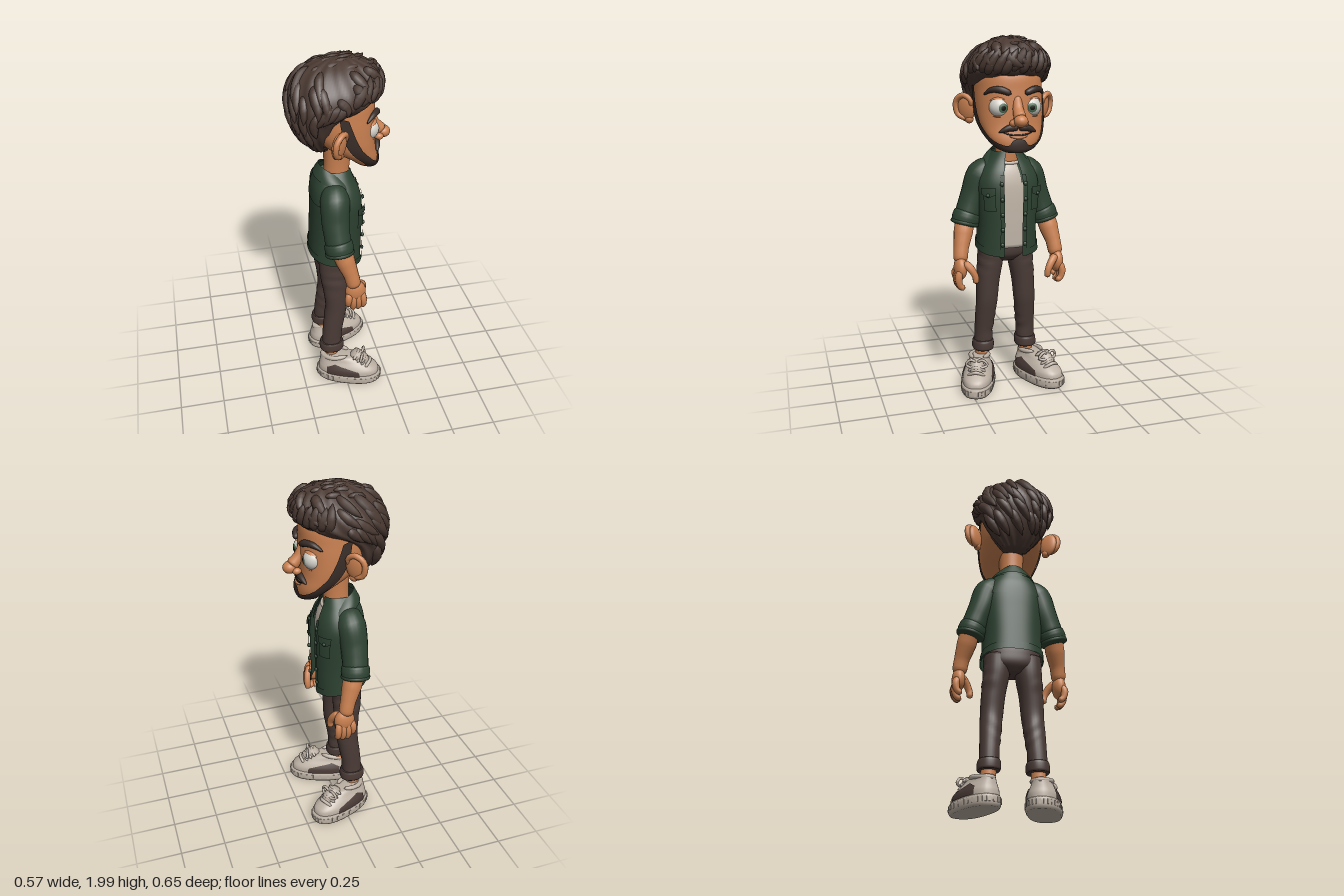
import * as THREE from 'three';
import { mergeVertices } from 'three/addons/utils/BufferGeometryUtils.js';

const mat = (name, color, side = THREE.FrontSide) => {
  const m = new THREE.MeshStandardMaterial({ color, side });
  m.name = name;
  return m;
};
const V = (x, y, z) => new THREE.Vector3(x, y, z);
const { sin, cos, abs, sign, PI, min, max, sqrt, pow } = Math;

// Value of a list at t in 0..1, by straight segments
const listAt = (l, t) => {
  const k = min(t * (l.length - 1), l.length - 1.0001), i = Math.floor(k);
  return l[i] + (l[i + 1] - l[i]) * (k - i);
};

function finish(g) {
  const m = mergeVertices(g, 1e-5);
  m.computeVertexNormals();
  return m;
}

// Grid of points from f(u, v), u and v in 0..1
function grid(f, nu, nv) {
  const pos = [], idx = [];
  for (let j = 0; j <= nv; j++) for (let i = 0; i <= nu; i++) pos.push(...f(i / nu, j / nv).toArray());
  for (let j = 0; j < nv; j++) for (let i = 0; i < nu; i++) {
    const a = j * (nu + 1) + i, b = a + nu + 1;
    idx.push(a, a + 1, b + 1, a, b + 1, b);
  }
  const g = new THREE.BufferGeometry();
  g.setAttribute('position', new THREE.Float32BufferAttribute(pos, 3));
  g.setIndex(idx);
  return finish(g);
}

// Body surface from sections [y, zBack, zFront, halfWidth, xCentre]; angle 0 is the front
function surface(S, p = 2.2) {
  const slope = (i, k) => {
    const a = S[max(i - 1, 0)], b = S[min(i + 1, S.length - 1)];
    return ((b[k] || 0) - (a[k] || 0)) / (b[0] - a[0]);
  };
  const at = y => {
    y = min(max(y, S[0][0]), S[S.length - 1][0]);
    let i = 0;
    while (i < S.length - 2 && y > S[i + 1][0]) i++;
    const h = S[i + 1][0] - S[i][0], t = (y - S[i][0]) / h, t2 = t * t, t3 = t2 * t;
    return [1, 2, 3, 4].map(k => (2 * t3 - 3 * t2 + 1) * (S[i][k] || 0) + (t3 - 2 * t2 + t) * h * slope(i, k)
      + (3 * t2 - 2 * t3) * (S[i + 1][k] || 0) + (t3 - t2) * h * slope(i + 1, k));
  };
  const f = (a, y, off = 0, s = 1) => {
    const [zb, zf, w, xc] = at(y), q = v => sign(v) * pow(abs(v), 2 / p);
    return V(xc + s * q(sin(a)) * (w + off), y, (zb + zf) / 2 + s * q(cos(a)) * ((zf - zb) / 2 + off));
  };
  f.lo = S[0][0];
  f.hi = S[S.length - 1][0];
  f.on = (x, y, off) => f(Math.asin(sign(x) * pow(min(abs(x) / at(y)[2], 1), p / 2)), y, off);
  return f;
}
// Closed solid around a surface, optional ridges
const loft = (f, nu = 40, nv = 28, ridge = () => 0) => grid((u, v) => {
  const t = min(max((v * nv - 1) / (nv - 2), 0), 1), a = u * 2 * PI - PI;
  const y = f.lo + (f.hi - f.lo) * t;
  return f(a, y, ridge(a, y), v === 0 || v === 1 ? 0 : 1);
}, nu, nv);
// Sheet lying on a surface between two angles and two heights
const patch = (f, a0, a1, lo, hi, off, nu = 24, nv = 12) => grid((u, v) => {
  const a = a0 + (a1 - a0) * u, l = lo.call ? lo(a) : lo, h = hi.call ? hi(a) : hi;
  return f(a, l + (h - l) * v, off);
}, nu, nv);

// Round-ended tube with changing radius
function tube(pts, radii, seg = 16, sides = 12, cap = 0.12) {
  const c = new THREE.CatmullRomCurve3(pts.map(p => p.isVector3 ? p : V(...p)));
  const g = new THREE.TubeGeometry(c, seg, 1, sides), P = g.attributes.position, v = V();
  for (let i = 0; i <= seg; i++) {
    const t = i / seg, e = 1 - min(1, t / cap, (1 - t) / cap), o = c.getPointAt(t);
    const r = listAt(radii, t) * sqrt(max(0, 1 - e * e));
    for (let j = 0; j <= sides; j++) {
      const k = i * (sides + 1) + j;
      v.fromBufferAttribute(P, k).sub(o).multiplyScalar(r).add(o);
      P.setXYZ(k, v.x, v.y, v.z);
    }
  }
  g.deleteAttribute('uv');
  g.deleteAttribute('normal');
  return finish(g);
}

export function createModel() {
  const root = new THREE.Group(), man = new THREE.Group();
  root.add(man);
  man.name = 'man';
  man.rotation.y = PI / 2; // he looks along +x
  const skin = mat('skin', 0xc98050), hair = mat('hair brown', 0x4a3932), beard = mat('beard brown', 0x392d28, THREE.DoubleSide);
  const trousers = mat('trouser brown', 0x4a3b36, THREE.DoubleSide), green = mat('jacket green', 0x2d4231, THREE.DoubleSide);
  const cream = mat('shirt cream', 0xc4b8aa), shoe = mat('shoe off-white', 0xbdb1a4), white = mat('eye white', 0xd6d4cc);
  const iris = mat('iris green', 0x4a6f52), dark = mat('pupil black', 0x17120f);
  const add = (name, g, m, parent = man) => {
    const o = new THREE.Mesh(g, m);
    o.name = name;
    parent.add(o);
    return o;
  };
  const ball = (name, m, p, r, parent = man) => {
    const o = add(name, new THREE.SphereGeometry(1, 24, 16), m, parent);
    o.position.set(...p);
    o.scale.set(...r);
  };

  // Head and neck
  const head = surface([[1.38, .12, .195, .045], [1.4, .085, .205, .09], [1.45, .03, .205, .14], [1.52, -.08, .192, .172],
    [1.6, -.16, .19, .184], [1.7, -.2, .187, .184], [1.8, -.2, .175, .172], [1.9, -.14, .1, .11]], 2.3);
  add('head', loft(head, 48, 32), skin);
  add('neck', loft(surface([[1.18, -.09, .05, .08], [1.3, -.085, .055, .068], [1.4, -.08, .06, .066], [1.55, -.09, .08, .075]])), skin);

  // Beard: chin tuft, thin jaw band, narrow sideburns
  const beardTop = a => listAt([1.458, 1.45, 1.425, 1.42, 1.425, 1.433, 1.445, 1.465, 1.54, 1.72, 1.74], abs(a) / 1.66);
  add('beard', patch(head, -1.66, 1.66, 1.382, beardTop, .009, 80, 18), beard);
  add('mouth', tube([-.085, -.045, 0, .045, .085].map(x => head.on(x, 1.474 + x * x * 2.4, .002)), [.002, .005, .005, .002]), dark);
  add('lowerLip', tube([-.05, 0, .05].map(x => head.on(x, 1.463 + x * x * 3, .002)), [.004, .01, .004]), skin);

  // Nose
  add('noseBridge', tube([[0, 1.68, .165], [0, 1.61, .192], [0, 1.56, .235]], [.024, .029, .036]), skin);
  ball('noseTip', skin, [0, 1.553, .243], [.038, .033, .038]);

  for (const s of [-1, 1]) {
    // Moustache, brow, nostril
    add('moustache', tube([[0, 1.513], [.04, 1.515], [.075, 1.502], [.1, 1.49]].map(([x, y]) => head.on(s * x, y, .007)), [.015, .02, .015, .005]), beard);
    add('eyebrow', tube([[.035, 1.69], [.08, 1.71], [.125, 1.712], [.16, 1.685]].map(([x, y]) => head.on(s * x, y, .008)), [.015, .019, .015, .005]), beard);
    ball('nostril', skin, [s * .033, 1.54, .213], [.02, .019, .024]);
    // Eye with iris, pupil and lids
    const eye = new THREE.Group();
    eye.name = 'eye';
    eye.position.set(s * .087, 1.62, .137);
    man.add(eye);
    ball('eyeball', white, [0, 0, 0], [.057, .057, .057], eye);
    [['iris', iris, .45, .0585], ['pupil', dark, .23, .0595]].forEach(([n, m, ang, r]) => {
      const o = add(n, new THREE.SphereGeometry(r, 24, 6, 0, 2 * PI, 0, ang), m, eye);
      o.rotation.set(PI / 2 + .04, 0, s * .12);
    });
    [['upperLid', -.25, 1.05], ['lowerLid', PI + .15, .85]].forEach(([n, rx, ang]) => {
      add(n, new THREE.SphereGeometry(.063, 24, 8, 0, 2 * PI, 0, ang), skin, eye).rotation.x = rx;
    });
    // Ear opening forwards, with rim and lobe
    const ear = new THREE.Group();
    ear.name = 'ear';
    ear.position.set(s * .222, 1.605, -.045);
    ear.rotation.set(0, -s * .75, -s * .1);
    man.add(ear);
    ball('earShell', skin, [0, 0, 0], [.026, .076, .056], ear);
    add('earRim', tube([[s * .012, -.06, .01], [s * .018, -.03, -.046], [s * .018, .042, -.05], [s * .018, .073, 0], [s * .013, .045, .04], [s * .008, .005, .035]], [.014, .016, .016, .012]), skin, ear);
    ball('earLobe', skin, [0, -.06, .015], [.02, .024, .025], ear);
  }

  // Hair mass with combed ridges
  const mane = surface([[1.5, -.15, -.06, .07], [1.55, -.19, -.06, .12], [1.62, -.23, -.04, .17], [1.7, -.257, .01, .2], [1.765, -.265, .14, .226],
    [1.8, -.262, .2, .228], [1.86, -.242, .213, .21], [1.92, -.2, .195, .162], [1.96, -.14, .145, .11], [1.985, -.07, .08, .05]]);
  add('hair', loft(mane, 120, 40, (a, y) => .005 * sin(a * 15 + y * 30)), hair);
  let seed = 7;
  const rnd = () => (seed = (seed * 16807) % 2147483647) / 2147483647;
  // A lock lying on the hair: start angle, start height, sweep, drop, lift at the tip
  const lock = (a, y, sweep, drop, lift, r) => add('hairLock', tube([0, .25, .5, .75, 1].map(t =>
    mane(a + sweep * t, y - drop * t, -.012 + (lift + .012) * t * t)), [.5 * r, r, r, .7 * r, .002], 14, 8), hair);
  for (const [y0, n] of [[1.95, 9], [1.9, 13], [1.85, 14], [1.78, 14], [1.7, 14]]) for (let i = 0; i < n; i++) {
    const a = (i + rnd() * .7) / n * 2 * PI - PI, j = rnd(), front = abs(a) < 1.3;
    if ((front && y0 < 1.86) || (y0 < 1.8 && abs(a) < 1.75)) continue;
    lock(a, y0, .3 + .2 * j, front ? .07 : abs(a) < 1.8 ? .09 : .13 + .03 * j, .014, .024 + .007 * j);
  }
  // Swept fringe rising from the hairline, and temple tufts
  for (let i = 0; i < 13; i++) lock(-1.35 + i * .2, 1.79 + .015 * rnd(), .22 + .12 * rnd(), -.11 - .03 * rnd(), .02, .028);
  for (const s of [-1, 1]) for (let i = 0; i < 3; i++) lock(s * (1.5 + i * .14), 1.82, s * .04, .09 + .02 * i, .006, .026);
  // Tousled crown
  for (let i = 0; i < 15; i++) {
    const a = i * 2.4, r = .025 + .0075 * i, x = r * sin(a), z = .01 + r * cos(a) * 1.1, y = 1.975 - r * r * 2.2;
    add('crownLock', tube([[x, y - .03, z - .06], [x + .006, y - .003, z - .02], [x + .016, y + .003, z + .02], [x + .034, y + .012, z + .045]], [.014, .024, .018, .003], 12, 8), hair);
  }

  // Shirt
  add('shirt', loft(surface([[.83, -.13, .085, .135], [1, -.13, .095, .14], [1.18, -.13, .098, .145], [1.26, -.12, .085, .115], [1.315, -.09, .062, .075]], 2.4)), cream);
  add('shirtNeckband', tube([-1.4, -.7, 0, .7, 1.4].map(a => [.075 * sin(a), 1.325 - .018 * cos(a), -.01 + .074 * cos(a)]), [.01, .01]), cream);

  // Open jacket
  const coat = surface([[.79, -.175, .118, .172], [.95, -.167, .122, .165], [1.1, -.16, .124, .172], [1.2, -.155, .118, .175],
    [1.27, -.147, .1, .15], [1.32, -.132, .075, .115], [1.37, -.115, .06, .08]], 2.5);
  const gap = .24, hem = a => .82 - .03 * cos(a);
  add('jacketBody', patch(coat, gap, 2 * PI - gap, hem, 1.37, 0, 56, 24), green);
  add('jacketHem', patch(coat, gap, 2 * PI - gap, hem, a => hem(a) + .04, .006, 56, 4), green);
  add('backYoke', patch(coat, PI - 1.3, PI + 1.3, 1.2, 1.33, .005), green);
  add('collar', grid((u, v) => {
    const a = .36 + u * (2 * PI - .72), c = cos(a), k = 1 - v, tip = pow(max(0, c), 4) * .05;
    const r = .088 + .057 * k + .01 * sin(v * PI);
    return V(r * sin(a), 1.35 - .052 * c - k * (.062 + tip), -.015 + (.095 + .032 * k) * c);
  }, 48, 6), green);

  for (const s of [-1, 1]) {
    const strip = (name, a0, a1, lo, hi, off) => add(name, patch(coat, s > 0 ? a0 : -a1, s > 0 ? a1 : -a0, lo, hi, off), green);
    strip('placket', gap - .02, gap + .12, hem(0), 1.25, .008);
    strip('pocket', .5, 1.0, 1.05, 1.17, .009);
    strip('pocketFlap', .47, 1.04, a => 1.125 + abs(abs(a) - .76) * .07, 1.18, .017);
    ball('pocketButton', green, coat(s * .76, 1.14, .018).toArray(), [.01, .01, .009]);
    for (let i = 0; i < 5; i++) ball('jacketButton', green, coat(s * (gap + .05), .86 + i * .085, .008).toArray(), [.012, .012, .009]);

    // Sleeve, rolled cuff, arm
    add('sleeve', tube([[s * .07, 1.29, -.045], [s * .14, 1.235, -.05], [s * .178, 1.13, -.055], [s * .215, 1.03, -.05], [s * .23, .975, -.045]],
      [.06, .081, .077, .072, .071], 24, 20), green);
    add('rolledCuff', tube([[s * .212, 1.035, -.052], [s * .23, .99, -.046], [s * .241, .948, -.042]], [.076, .08, .075], 16, 24, .25), green);
    add('cuffFold', tube([[s * .232, .985, -.046], [s * .243, .945, -.042]], [.081, .081], 12, 24, .4), green);
    add('forearm', tube([[s * .235, 1, -.045], [s * .255, .91, -.015], [s * .274, .83, .012], [s * .285, .75, .03]], [.055, .055, .043, .04], 18, 16), skin);
    // Hand with curled fingers
    ball('palm', skin, [s * .285, .725, .035], [.037, .068, .058]);
    for (let i = 0; i < 4; i++) {
      const z = -.012 + i * .028, d = i === 0 ? .025 : i === 3 ? .008 : 0;
      add('finger', tube([[s * .291, .72, z * .8 + .01], [s * .306, .665 + d, z + .004], [s * .295, .622 + d, z + .004], [s * .268, .607 + d, z + .004]], [.021, .021, .018, .016], 14, 10), skin);
    }
    add('thumb', tube([[s * .272, .765, .06], [s * .235, .725, .085], [s * .213, .68, .094], [s * .212, .64, .09]], [.022, .023, .019, .017], 14, 10), skin);

    // Trouser leg with turn-up, bare ankle
    const leg = surface([[.21, -.13, -.01, .052, s * .13], [.3, -.124, -.01, .052, s * .127], [.42, -.112, .01, .058, s * .119], [.5, -.103, .024, .061, s * .113],
      [.62, -.115, .03, .066, s * .105], [.74, -.13, .035, .073, s * .09], [.84, -.13, .035, .075, s * .085]]);
    add('trouserLeg', loft(leg, 28, 44, (a, y) => .0025 * sin(y * 55 + 2.5 * cos(a + s) + 3 * sin(y * 17)) * max(0, sin(y * 9 + s * a))), trousers);
    add('turnUp', loft(surface([[.195, -.138, -.002, .058, s * .13], [.205, -.142, .002, .062, s * .13], [.24, -.141, .001, .061, s * .129], [.253, -.136, -.004, .056, s * .129]])), trousers);
    add('ankle', tube([[s * .135, .1, -.075], [s * .131, .24, -.07]], [.042, .04]), skin);

    // Shoe turned outwards
    const foot = new THREE.Group();
    foot.name = 'shoe';
    foot.position.set(s * .183, 0, .02);
    foot.rotation.y = s * .36;
    man.add(foot);
    const upper = surface([[.045, -.18, .188, .088], [.085, -.178, .18, .086], [.11, -.172, .15, .076], [.135, -.168, .105, .062], [.155, -.165, .06, .054], [.165, -.16, .035, .048]], 2.4);
    add('sole', loft(surface([[0, -.18, .188, .087], [.012, -.188, .198, .094], [.048, -.19, .2, .095], [.06, -.184, .194, .089]], 2.4), 48, 10), shoe, foot);
    for (let i = 0; i < 32; i++) {
      const a = i / 32 * 2 * PI, g = add('soleNotch', new THREE.BoxGeometry(.012, .026, .008), shoe, foot);
      g.position.set(.093 * sign(sin(a)) * pow(abs(sin(a)), .83), .034, .005 + .194 * sign(cos(a)) * pow(abs(cos(a)), .83));
      g.rotation.y = Math.atan2(sin(a) * 2, cos(a));
    }
    add('shoeUpper', loft(upper, 40, 20), shoe, foot);
    add('tongue', tube([[0, .105, .115], [0, .14, .08], [0, .17, .05], [0, .19, .04]], [.03, .04, .04, .034]), shoe, foot);
    add('shoeCollar', tube([-2.5, -1.8, -1.2, 0, 1.2, 1.8, 2.5].map(a => [.05 * sin(a), .162 - .012 * cos(a), -.07 - .088 * cos(a)]), [.013, .014, .013], 24), shoe, foot);
    for (const d of [-1, 1]) {
      add('sidePanel', patch(upper, d > 0 ? 1.2 : -2.2, d > 0 ? 2.2 : -1.2, .06, a => .128 - .06 * abs(abs(a) - 1.8), .005), trousers, foot);
      add('laceLoop', tube([[0, .178, .085], [d * .035, .193, .09], [d * .06, .163, .085], [d * .03, .153, .1], [0, .175, .09]], [.008, .008], 18, 8), shoe, foot);
    }
    for (let i = 0; i < 4; i++) {
      const y = .12 + i * .018, z = .13 - i * .024;
      add('lace', tube([[-.052, y - .012, z - .02], [0, y + .016, z + .006], [.052, y - .012, z - .02]], [.009, .01, .009], 12, 8), shoe, foot);
    }
  }
  // Seat of the trousers
  add('trouserSeat', loft(surface([[.74, -.11, .015, .06], [.78, -.138, .045, .145], [.84, -.142, .05, .155], [.92, -.135, .05, .145]])), trousers);
  return root;
}
